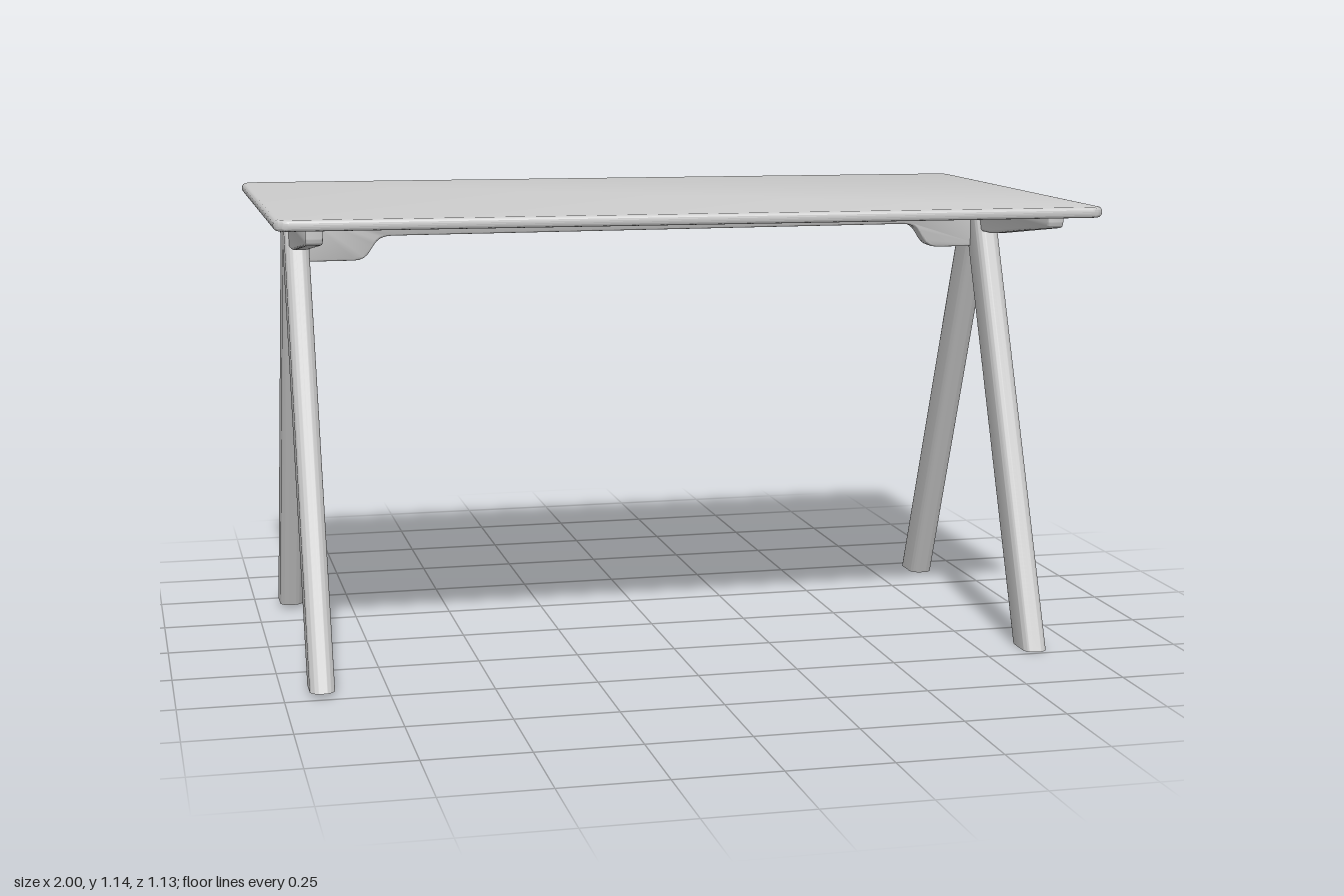
import * as THREE from 'three';
import { toCreasedNormals } from 'three/addons/utils/BufferGeometryUtils.js';

const material = new THREE.MeshStandardMaterial({ color: 0xcccccc, side: THREE.DoubleSide });

function roundedRect(w, h, r) {
  const s = new THREE.Shape(), a = w / 2, b = h / 2;
  s.absarc(a - r, b - r, r, 0, Math.PI / 2);
  s.absarc(-a + r, b - r, r, Math.PI / 2, Math.PI);
  s.absarc(-a + r, -b + r, r, Math.PI, Math.PI * 1.5);
  s.absarc(a - r, -b + r, r, Math.PI * 1.5, Math.PI * 2);
  s.closePath();
  return s;
}

// Extrudes a shape to a total depth centred on z = 0, with rounded edges
function slab(shape, depth, bevel) {
  const g = new THREE.ExtrudeGeometry(shape, {
    depth: depth - 2 * bevel, bevelEnabled: bevel > 0, bevelThickness: bevel,
    bevelSize: bevel, bevelOffset: -bevel, bevelSegments: 4, curveSegments: 10,
  });
  return g.translate(0, 0, bevel - depth / 2);
}

function addMesh(parent, name, geometry) {
  const mesh = new THREE.Mesh(toCreasedNormals(geometry, 0.6), material);
  mesh.name = name;
  parent.add(mesh);
  return mesh;
}

// Leg: rounded section rising from the foot, sheared towards the apex at z = 0
function legGeometry(side, footY) {
  const height = 1.108 - footY;
  const g = new THREE.ExtrudeGeometry(roundedRect(0.06, 0.11, 0.026), {
    depth: height, bevelEnabled: false, curveSegments: 8,
  });
  g.rotateX(-Math.PI / 2).translate(0, footY, 0);
  const p = g.attributes.position;
  for (let i = 0; i < p.count; i++) {
    p.setZ(i, p.getZ(i) + side * 0.395 * (1.1 - p.getY(i)));
  }
  g.computeVertexNormals();
  return g;
}

// Tapered bracket under the top, running front to back
function bracketGeometry() {
  const s = new THREE.Shape();
  s.moveTo(-0.53, 1.112);
  s.lineTo(-0.53, 1.09);
  s.quadraticCurveTo(-0.53, 1.075, -0.515, 1.073);
  s.lineTo(-0.17, 1.028);
  s.quadraticCurveTo(-0.14, 1.024, -0.11, 1.024);
  s.lineTo(0.11, 1.024);
  s.quadraticCurveTo(0.14, 1.024, 0.17, 1.028);
  s.lineTo(0.515, 1.073);
  s.quadraticCurveTo(0.53, 1.075, 0.53, 1.09);
  s.lineTo(0.53, 1.112);
  s.closePath();
  return slab(s, 0.04, 0.006).rotateY(Math.PI / 2);
}

// Long rail with deeper ends that curve up to a shallow middle
function railGeometry() {
  const s = new THREE.Shape();
  s.moveTo(-0.9, 1.112);
  s.lineTo(-0.9, 0.982);
  s.lineTo(-0.765, 0.982);
  s.bezierCurveTo(-0.71, 0.982, -0.73, 1.042, -0.67, 1.042);
  s.lineTo(0.67, 1.042);
  s.bezierCurveTo(0.73, 1.042, 0.71, 0.98, 0.765, 0.98);
  s.lineTo(0.88, 0.98);
  s.lineTo(0.88, 1.11);
  s.closePath();
  return slab(s, 0.05, 0.006);
}

export function createModel() {
  const table = new THREE.Group();
  table.name = 'table';

  // Thin top with softened edges, very slightly out of level
  const top = addMesh(table, 'tableTop',
    slab(roundedRect(2, 1.13, 0.035), 0.026, 0.011).rotateX(-Math.PI / 2));
  top.position.y = 1.118;
  top.rotation.z = -0.005;

  // An A-shaped trestle at each end
  for (const [name, x, footY] of [['left', 0.885, 0], ['right', -0.908, 0.01]]) {
    const trestle = new THREE.Group();
    trestle.name = name + 'Trestle';
    trestle.position.x = x;
    addMesh(trestle, 'frontLeg', legGeometry(1, footY));
    addMesh(trestle, 'backLeg', legGeometry(-1, footY));
    addMesh(trestle, 'bracket', bracketGeometry());
    table.add(trestle);
  }

  addMesh(table, 'rail', railGeometry());
  return table;
}
